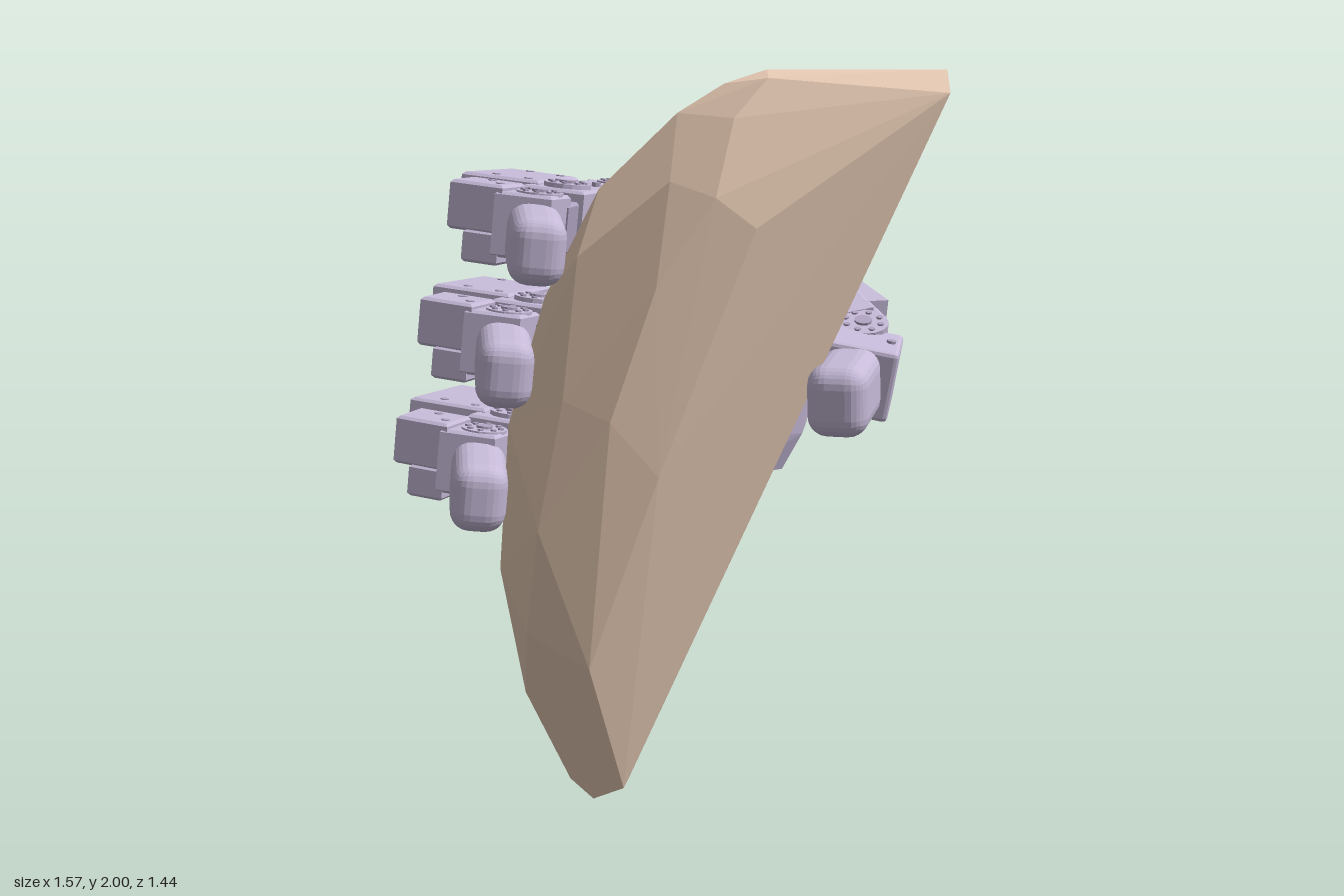
import * as THREE from 'three';
import { ConvexGeometry } from 'three/addons/geometries/ConvexGeometry.js';
import { RoundedBoxGeometry } from 'three/addons/geometries/RoundedBoxGeometry.js';

const shell = new THREE.MeshStandardMaterial({ color: 0xc6bad8, flatShading: true });
const dark = new THREE.MeshStandardMaterial({ color: 0xb0a4c2, flatShading: true });
const tan = new THREE.MeshStandardMaterial({ color: 0xeacdb6, flatShading: true });

function add(parent, name, geometry, material = shell) {
  const mesh = new THREE.Mesh(geometry, material);
  mesh.name = name;
  parent.add(mesh);
  return mesh;
}

function hull(parent, name, points, material) {
  return add(parent, name, new ConvexGeometry(points.map(p => new THREE.Vector3(...p))), material);
}

// Block with an outline given in x and z, standing from y0 to y1
function prism(parent, name, outline, y0, y1, material) {
  const b = 0.008;
  const shape = new THREE.Shape(outline.map(([x, z]) => new THREE.Vector2(x, -z)));
  const g = new THREE.ExtrudeGeometry(shape, {
    depth: y1 - y0 - 2 * b, bevelThickness: b, bevelSize: b, bevelOffset: -b, bevelSegments: 1,
  });
  g.rotateX(-Math.PI / 2).translate(0, y0 + b, 0);
  return add(parent, name, g, material);
}

// Hinge disc with a ring of bolts on both ends, axis along y
function hinge(parent, x, z, radius, height) {
  const g = new THREE.Group();
  g.name = 'hinge';
  g.position.set(x, 0, z);
  add(g, 'hingeDisc', new THREE.CylinderGeometry(radius, radius, height, 16));
  add(g, 'hingePin', new THREE.CylinderGeometry(radius * 0.35, radius * 0.35, height + 0.014, 10), dark);
  for (let i = 0; i < 8; i++) {
    const a = i * Math.PI / 4;
    add(g, 'bolt', new THREE.CylinderGeometry(0.009, 0.009, height + 0.01, 6), dark)
      .position.set(Math.cos(a) * radius * 0.72, 0, Math.sin(a) * radius * 0.72);
  }
  parent.add(g);
}

function bolts(parent, places, y, height) {
  for (const [x, z] of places)
    add(parent, 'bolt', new THREE.CylinderGeometry(0.013, 0.013, height, 8), dark).position.set(x, y, z);
}

// Group whose z axis runs from a to b
function along(parent, name, a, b) {
  const A = new THREE.Vector3(...a), B = new THREE.Vector3(...b);
  const g = new THREE.Group();
  g.name = name;
  g.position.copy(A).lerp(B, 0.5);
  g.lookAt(B);
  parent.add(g);
  return [g, A.distanceTo(B)];
}

function box(parent, name, size, position, material) {
  const m = add(parent, name, new THREE.BoxGeometry(...size), material);
  m.position.set(...position);
  return m;
}

function fingertip(parent, a, b, w, h) {
  const [g, length] = along(parent, 'fingertip', a, b);
  add(g, 'fingertipPad', new RoundedBoxGeometry(w, h, length, 3, 0.055));
}

function finger(parent, x, y) {
  const f = new THREE.Group();
  f.name = 'finger';
  f.position.set(x - 0.4, y, 0);
  f.rotation.z = -0.1;
  const p = new THREE.Group();
  p.position.x = 0.4;
  f.add(p);

  // Knuckle: bent outer plates around a hinge
  prism(p, 'knuckle', [[-0.36, -0.49], [-0.17, -0.54], [-0.12, -0.38], [-0.18, -0.28], [-0.28, -0.3], [-0.31, -0.38]], -0.09, 0.085);
  for (const s of [-1, 1])
    prism(p, 'knuckleFork', [[-0.31, -0.38], [-0.17, -0.36], [-0.17, -0.17], [-0.36, -0.21]], s * 0.07 - 0.025, s * 0.07 + 0.025);
  prism(p, 'knuckleCore', [[-0.29, -0.36], [-0.18, -0.35], [-0.21, -0.06], [-0.37, -0.1]], -0.06, 0.06, dark);
  hinge(p, -0.23, -0.32, 0.065, 0.2);

  // Lower link: stepped motor housing and inner frame
  prism(p, 'motorHousing', [[-0.55, -0.26], [-0.33, -0.2], [-0.39, 0.1], [-0.625, 0.05]], -0.025, 0.11);
  prism(p, 'motorHousingBase', [[-0.5, -0.245], [-0.33, -0.2], [-0.39, 0.1], [-0.565, 0.06]], -0.11, -0.02);
  prism(p, 'lowerFrame', [[-0.37, -0.13], [-0.2, -0.09], [-0.24, 0.19], [-0.43, 0.15]], -0.115, 0.1);
  bolts(p, [[-0.48, -0.21], [-0.38, -0.17], [-0.43, 0.05], [-0.53, 0.02], [-0.25, -0.05]], 0, 0.225);
  hinge(p, -0.31, 0.08, 0.068, 0.226);

  // Short connector
  prism(p, 'connector', [[-0.46, 0.12], [-0.25, 0.15], [-0.26, 0.3], [-0.46, 0.26]], -0.07, 0.07, dark);

  // Upper link
  prism(p, 'upperHousing', [[-0.56, 0.19], [-0.4, 0.23], [-0.43, 0.39], [-0.585, 0.35]], -0.025, 0.11);
  prism(p, 'upperHousingBase', [[-0.51, 0.205], [-0.4, 0.23], [-0.43, 0.39], [-0.535, 0.365]], -0.11, -0.02);
  prism(p, 'upperFrame', [[-0.43, 0.24], [-0.26, 0.28], [-0.29, 0.4], [-0.45, 0.39]], -0.085, 0.095);
  bolts(p, [[-0.49, 0.25], [-0.45, 0.33]], 0, 0.225);
  hinge(p, -0.34, 0.32, 0.065, 0.2);
  fingertip(p, [-0.345, -0.02, 0.34], [-0.26, -0.03, 0.68], 0.15, 0.185);
  parent.add(f);
}

function thumbLink(parent, name, a, b, w, h, roll) {
  const [g, length] = along(parent, name, a, b);
  g.rotateZ(roll);
  add(g, name + 'Body', new RoundedBoxGeometry(w, h, length, 1, 0.012));
  for (const s of [-1, 1])
    box(g, name + 'Cheek', [w * 0.75, 0.02, length * 0.55], [0, s * h / 2, 0.02]);
  hinge(g, 0, length / 2, w * 0.42, h + 0.015);
}

export function createModel() {
  const model = new THREE.Group();

  // Faceted slab held by the hand: outer rim, rounded back, domed front
  const rim = [[0.3, 2, 0.42], [0.77, 2, 0.36], [0.78, 1.94, 0.41], [-0.07, 0.05, 0.53], [-0.07, 0.05, 0.41],
    [-0.16, 0.005, 0.5], [-0.23, 0.05, 0.47], [-0.35, 0.3, 0.49], [-0.415, 0.65, 0.5], [-0.385, 1.05, 0.51],
    [-0.28, 1.4, 0.52], [-0.13, 1.69, 0.53], [0.08, 1.89, 0.54], [0.2, 1.965, 0.52]];
  const backEdge = [[-0.18, 0.05, 0.42], [-0.315, 0.3, 0.39], [-0.38, 0.65, 0.38], [-0.352, 1.05, 0.37],
    [-0.25, 1.4, 0.37], [-0.09, 1.68, 0.37], [0.1, 1.87, 0.37], [0.3, 1.98, 0.37]];
  const back = [[0.75, 1.91, 0.31], [0.755, 1.99, 0.33], [-0.08, 0.1, 0.36], [-0.24, 0.35, 0.34],
    [-0.3, 0.68, 0.318], [-0.28, 1.03, 0.31], [-0.18, 1.37, 0.31], [-0.04, 1.62, 0.31], [0.14, 1.81, 0.31],
    [0.33, 1.91, 0.31], [0.13, 0.56, 0.32]];
  const front = [[-0.07, 1.1, 0.72], [-0.27, 0.8, 0.69], [0.05, 1.45, 0.715], [-0.32, 0.5, 0.61], [0.2, 1.68, 0.69],
    [0.3, 1.6, 0.65], [-0.2, 1.15, 0.69], [-0.17, 1.52, 0.63], [0.08, 1.72, 0.675],
    [0.24, 1.88, 0.64], [0.32, 1.98, 0.58], [-0.14, 0.42, 0.66], [0.05, 0.95, 0.675]];
  hull(model, 'heldSlab', [...rim, ...backEdge, ...back, ...front], tan);

  const hand = new THREE.Group();
  hand.name = 'hand';
  model.add(hand);

  // Palm: leaning back cover, lower body with a chamfered base, upper body beside the thumb
  const palm = new THREE.Group();
  palm.name = 'palm';
  hand.add(palm);
  const cover = [[-0.2, 1.66, -0.615], [-0.35, 0.79, -0.58], [-0.32, 0.76, -0.586], [0.25, 1.58, -0.718],
    [0.395, 1.55, -0.7], [0.29, 0.86, -0.705], [0.21, 0.78, -0.705]];
  hull(palm, 'backCover', [...cover, ...cover.map(([x, y, z]) => [x, y, z + 0.035])]);
  // Cross-section shifted sideways with height
  const ring = (outline, y, scale = 1) =>
    outline.map(([x, z]) => [x * scale + 0.15 * (y - 1.2), y, z]);
  const base = [[-0.26, -0.58], [0.22, -0.69], [0.375, -0.67], [0.38, -0.45], [0.22, -0.31], [0, -0.265], [-0.14, -0.31], [-0.24, -0.45]];
  hull(palm, 'lowerPalm', [...ring(base, 1.22), ...ring(base, 0.88), ...ring(base, 0.765, 0.88)]);
  const upper = [[-0.25, -0.59], [0.08, -0.66], [0.05, -0.42], [0.15, -0.32], [0, -0.265], [-0.16, -0.31], [-0.23, -0.42]];
  hull(palm, 'upperPalm', [...ring(upper, 1.2),
    ...ring(upper, 1.59).map(([x, y, z]) => [x, y - 0.15 * x + (z < -0.4 ? 0.03 : 0), z])]);
  bolts(palm, [[0, -0.57]], 1.61, 0.03);
  bolts(palm, [[-0.12, -0.42], [0.02, -0.4]], 0.755, 0.05);
  for (let i = 0; i < 3; i++)
    box(palm, 'baseSlot', [0.09, 0.02, 0.05], [-0.2 + i * 0.13, 0.762, -0.5 - i * 0.03], dark).rotation.y = 0.23;
  for (const [x, y, z] of [[0.24, 0.95, -0.705], [0.3, 1.48, -0.705], [-0.27, 0.88, -0.59], [-0.16, 1.56, -0.615]])
    add(palm, 'coverScrew', new THREE.SphereGeometry(0.014, 8, 6), dark).position.set(x, y, z);

  // Three fingers, stepping outward towards the bottom
  finger(hand, 0, 1.575);
  finger(hand, -0.09, 1.25);
  finger(hand, -0.165, 0.915);

  // Thumb: mount, motor, two hinged links, end housing and tip
  const thumb = new THREE.Group();
  thumb.name = 'thumb';
  hand.add(thumb);
  prism(thumb, 'thumbFlange', [[0.355, -0.68], [0.385, -0.69], [0.425, -0.48], [0.395, -0.46]], 1.24, 1.54);
  prism(thumb, 'thumbMount', [[0.22, -0.67], [0.33, -0.68], [0.36, -0.52], [0.22, -0.5]], 1.25, 1.56);
  hull(thumb, 'thumbMotor', [[0.2, 1.58, -0.54], [0.37, 1.56, -0.56], [0.4, 1.57, -0.33], [0.22, 1.58, -0.32],
    [0.2, 1.36, -0.56], [0.37, 1.34, -0.56], [0.41, 1.24, -0.34], [0.21, 1.24, -0.32]]);
  thumbLink(thumb, 'thumbBase', [0.28, 1.44, -0.4], [0.36, 1.34, -0.18], 0.18, 0.2, 0);
  thumbLink(thumb, 'thumbMiddle', [0.36, 1.33, -0.2], [0.54, 1.21, 0.08], 0.17, 0.18, 0.15);
  const [motor, motorLength] = along(thumb, 'thumbSideMotor', [0.46, 1.29, -0.2], [0.55, 1.25, -0.04]);
  box(motor, 'sideMotorBody', [0.11, 0.19, motorLength], [0, 0, 0]);
  const [end, endLength] = along(thumb, 'thumbEnd', [0.545, 1.185, 0.1], [0.54, 1.155, 0.3]);
  end.rotateZ(-0.18);
  add(end, 'thumbEndHousing', new RoundedBoxGeometry(0.2, 0.2, endLength, 1, 0.012));
  bolts(end, [[0.07, 0]], 0, 0.215);
  fingertip(thumb, [0.53, 1.16, 0.25], [0.495, 1.125, 0.53], 0.165, 0.195);

  return model;
}
